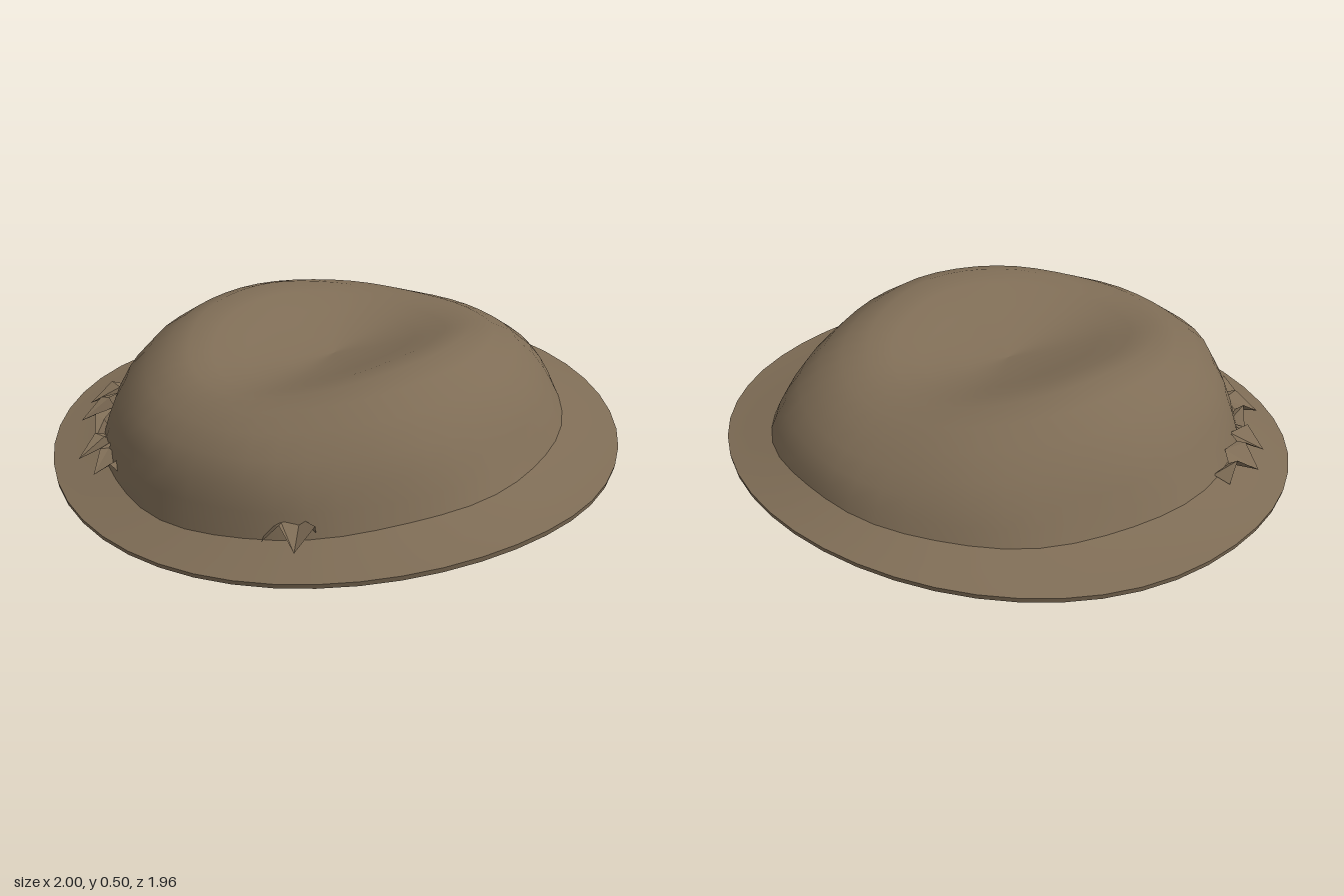
import * as THREE from 'three';

const SEG = 48;

// Each row is an oval ring: [side radius, front radius, back radius, side y, front y, back y]
const crownRows = [
  [0.785, 0.835, 0.845, 0.135, 0.065, 0.2],
  [0.75, 0.82, 0.825, 0.2, 0.16, 0.25],
  [0.72, 0.8, 0.79, 0.26, 0.235, 0.3],
  [0.68, 0.76, 0.74, 0.335, 0.31, 0.345],
  [0.61, 0.69, 0.67, 0.42, 0.365, 0.39],
  [0.53, 0.62, 0.59, 0.475, 0.4, 0.42],
  [0.45, 0.55, 0.5, 0.503, 0.415, 0.433],
  [0.36, 0.47, 0.42, 0.488, 0.41, 0.428],
  [0.25, 0.36, 0.32, 0.445, 0.397, 0.41],
  [0.12, 0.18, 0.16, 0.4, 0.382, 0.388],
  [0, 0, 0, 0.38, 0.38, 0.38],
];
const edgeTop = [1, 0.98, 0.98, 0.095, 0.014, 0.165];
const edgeBottom = [0.995, 0.978, 0.978, 0.075, 0, 0.15];
const opening = [0.755, 0.8, 0.81, 0.08, 0.03, 0.14];

// Point on a ring at angle a, measured from the front towards the left
function ringPoint(row, a, wobble) {
  const [rs, rf, rb, ys, yf, yb] = row;
  const s = Math.sin(a), c = Math.cos(a), front = c > 0;
  const w = c * c;
  const bump = wobble * (Math.sin(5 * a + 1) + Math.sin(9 * a + row[3] * 12));
  return new THREE.Vector3(
    s * rs * (1 + bump),
    ys * (1 - w) + (front ? yf : yb) * w,
    c * (front ? rf : rb) * (1 + bump),
  );
}

// Joins successive rings into a smooth closed band
function band(rows, wobble = 0) {
  const pos = [], index = [];
  rows.forEach((row, i) => {
    for (let j = 0; j < SEG; j++) {
      pos.push(...ringPoint(row, (j / SEG) * Math.PI * 2, wobble).toArray());
      if (i === rows.length - 1) continue;
      const a = i * SEG + j, b = i * SEG + (j + 1) % SEG;
      index.push(a, b, b + SEG);
      if (rows[i + 1][0] > 0) index.push(a, b + SEG, a + SEG);
    }
  });
  const g = new THREE.BufferGeometry();
  g.setAttribute('position', new THREE.Float32BufferAttribute(pos, 3));
  g.setIndex(index);
  g.computeVertexNormals();
  return g;
}

// Crumpled scrap of felt between two angles on the brim
function scrap(from, to, count) {
  const pos = [];
  let last = null;
  for (let k = 0; k <= count; k++) {
    const a = from + ((to - from) * k) / count;
    const fade = Math.sin((Math.PI * k) / count);
    const at = (r, y) => new THREE.Vector3(Math.sin(a) * r, y, Math.cos(a) * r);
    const low = 0.07 + 0.05 * Math.sin(a) ** 2;
    const pair = [
      at(0.78 + 0.03 * (k % 2), low + 0.03 + 0.04 * fade),
      at(0.84 + 0.07 * fade * ((k + 1) % 2), low + (k % 2 ? 0.07 : 0.01)),
    ];
    if (last) {
      for (const p of [last[0], last[1], pair[1], last[0], pair[1], pair[0]]) pos.push(...p.toArray());
    }
    last = pair;
  }
  const g = new THREE.BufferGeometry();
  g.setAttribute('position', new THREE.Float32BufferAttribute(pos, 3));
  g.computeVertexNormals();
  return g;
}

export function createModel() {
  const felt = new THREE.MeshStandardMaterial({ color: 0x7f6d56, side: THREE.DoubleSide });
  felt.name = 'brownFelt';
  const hat = new THREE.Group();
  hat.name = 'hat';
  const add = (name, geometry) => {
    const mesh = new THREE.Mesh(geometry, felt);
    mesh.name = name;
    hat.add(mesh);
  };

  // Crown with its hollowed top
  add('crown', band(crownRows, 0.004));

  // Lining: the crown rings drawn in slightly, from the top down to the opening
  const lining = crownRows.slice(1).map(([a, b, c, d, e, f]) => {
    const inset = (r) => Math.max(r - 0.025, 0);
    return [inset(a), inset(b), inset(c), d - 0.025, e - 0.025, f - 0.025];
  });
  lining.push([0, 0, 0, 0.355, 0.355, 0.355]);
  add('lining', band([opening, ...lining], 0.004));

  // Brim: upper face, rim and underside
  add('brimTop', band([edgeTop, [0.9, 0.91, 0.92, 0.112, 0.04, 0.182], [0.77, 0.82, 0.83, 0.145, 0.075, 0.21]]));
  add('brimRim', band([edgeBottom, edgeTop]));
  add('brimUnderside', band([opening, edgeBottom]));

  // Frayed scraps along the front of the band
  add('frayedScrapRight', scrap(-1.18, -0.72, 6));
  add('frayedScrapFront', scrap(-0.7, -0.36, 5));
  add('frayedScrapLeft', scrap(0.45, 0.65, 3));
  return hat;
}
